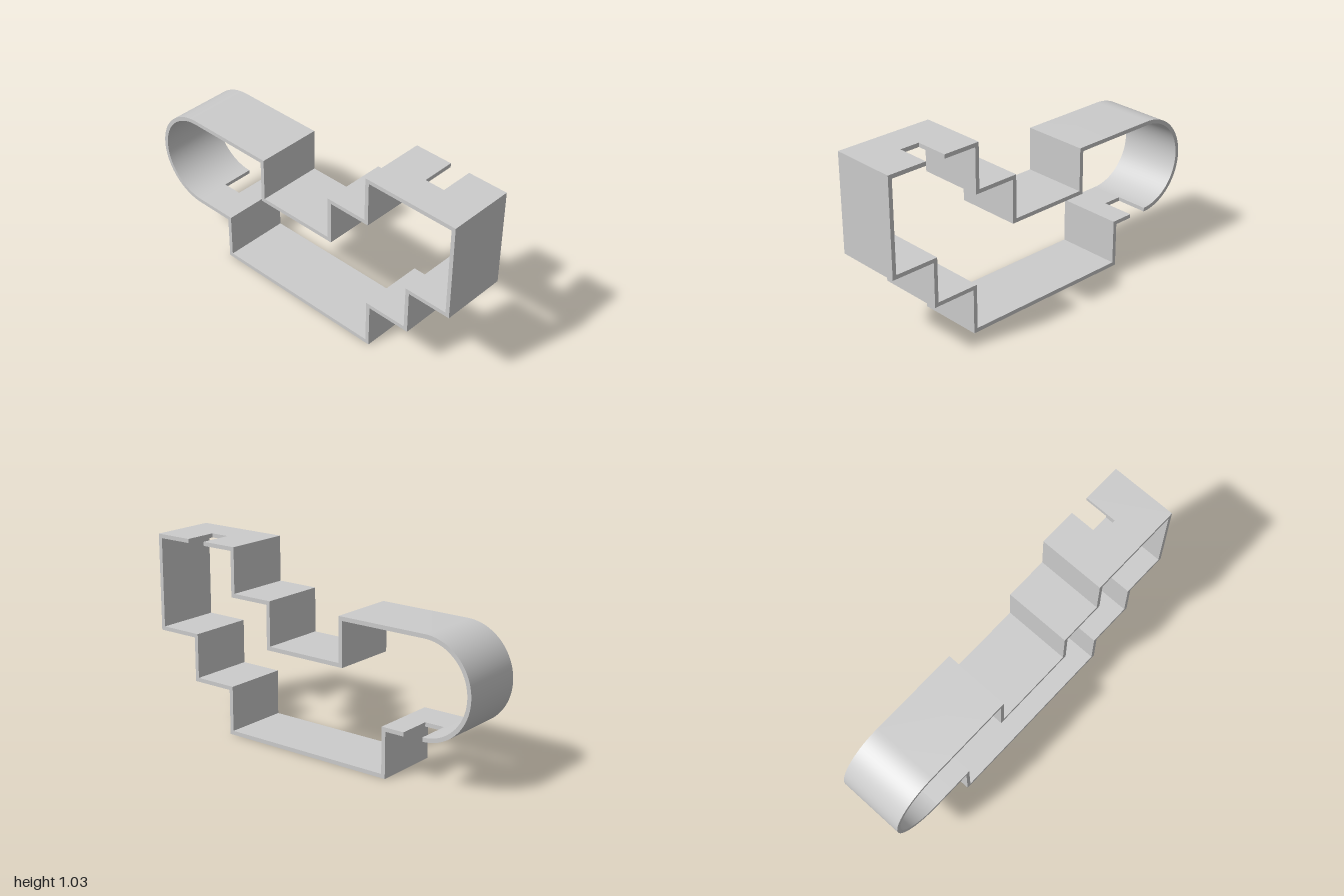
import * as THREE from 'three';
import { toCreasedNormals } from 'three/addons/utils/BufferGeometryUtils.js';

const T = 0.022;      // wall thickness
const DEPTH = 0.366;  // band width along z

const material = new THREE.MeshStandardMaterial({ color: 0xcccccc });

// Offsets a centre line sideways with mitred corners.
function offsetLine(points, distance) {
  return points.map((p, i) => {
    const a = points[Math.max(i - 1, 0)];
    const b = points[Math.min(i + 1, points.length - 1)];
    const dirIn = i > 0 ? p.clone().sub(a).normalize() : b.clone().sub(p).normalize();
    const dirOut = i < points.length - 1 ? b.clone().sub(p).normalize() : dirIn;
    const n1 = new THREE.Vector2(-dirIn.y, dirIn.x);
    const n2 = new THREE.Vector2(-dirOut.y, dirOut.x);
    const miter = n1.clone().add(n2);
    return p.clone().addScaledVector(miter, distance / (1 + n1.dot(n2)));
  });
}

// A folded band that follows a centre line in x, y.
function band(name, points) {
  const outline = [...offsetLine(points, T / 2), ...offsetLine(points, -T / 2).reverse()];
  const geometry = new THREE.ExtrudeGeometry(new THREE.Shape(outline), { depth: DEPTH, bevelEnabled: false });
  geometry.translate(0, 0, -DEPTH / 2);
  const mesh = new THREE.Mesh(toCreasedNormals(geometry, 0.5), material);
  mesh.name = name;
  return mesh;
}

// The front half of a wall beside a notch that is open to the back.
function notchBridge(name, x0, x1, y) {
  const mesh = new THREE.Mesh(new THREE.BoxGeometry(x1 - x0, T, DEPTH / 2), material);
  mesh.position.set((x0 + x1) / 2, y, DEPTH / 4);
  mesh.name = name;
  return mesh;
}

const v = (x, y) => new THREE.Vector2(x, y);

export function createModel() {
  const group = new THREE.Group();
  group.name = 'steppedBand';

  // Heights and ends of the walls, on their centre lines
  const top = 1.015, shelf = 0.769, low = 0.258;
  const arcX = -0.7335, arcY = (shelf + low) / 2, arcR = (shelf - low) / 2;
  const topNotch = [0.67, 0.78], lowNotch = [arcX, -0.623];

  // Upper run: top wall, steps, dip and rounded end
  const upper = [
    v(topNotch[0], top), v(0.471, top), v(0.471, shelf), v(0.231, shelf),
    v(0.231, 0.529), v(-0.236, 0.529), v(-0.236, shelf),
  ];
  const segments = 40;
  for (let i = 0; i <= segments; i++) {
    const angle = Math.PI / 2 + (Math.PI * i) / segments;
    upper.push(v(arcX + arcR * Math.cos(angle), arcY + arcR * Math.sin(angle)));
  }
  group.add(band('upperBand', upper));

  // Lower run: base and staircase up to the top wall
  group.add(band('lowerBand', [
    v(lowNotch[1], low), v(-0.504, low), v(-0.504, T / 2), v(0.497, T / 2), v(0.497, low),
    v(0.743, low), v(0.743, 0.503), v(0.989, 0.503), v(0.989, top), v(topNotch[1], top),
  ]));

  // Walls in front of the two notches
  group.add(notchBridge('topNotchBridge', ...topNotch, top));
  group.add(notchBridge('lowNotchBridge', ...lowNotch, low));

  return group;
}
